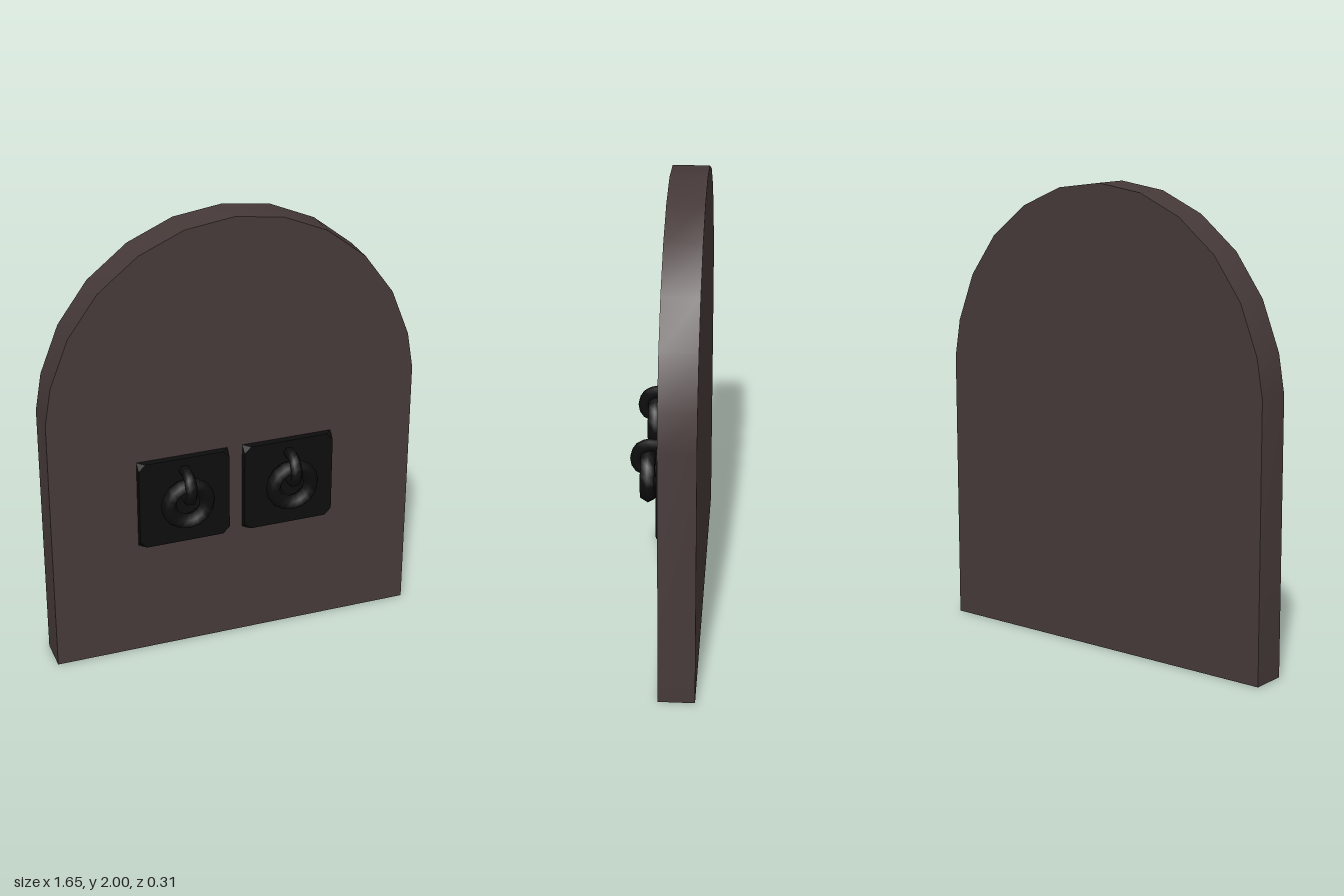
import * as THREE from 'three';
import { toCreasedNormals } from 'three/addons/utils/BufferGeometryUtils.js';
import { ConvexGeometry } from 'three/addons/geometries/ConvexGeometry.js';

const wood = new THREE.MeshStandardMaterial({ name: 'dark wood', color: 0x463a39 });
const iron = new THREE.MeshStandardMaterial({ name: 'black iron', color: 0x0d0d0d });

function part(name, geometry, material, x = 0, y = 0, z = 0) {
  const mesh = new THREE.Mesh(geometry, material);
  mesh.name = name;
  mesh.position.set(x, y, z);
  return mesh;
}

// Arched slab, mirrored from its right half
function doorGeometry() {
  const half = [[0.825, 0], [0.825, 1.19], [0.797, 1.355], [0.715, 1.565],
    [0.585, 1.745], [0.41, 1.885], [0.213, 1.971]];
  const outline = [...half, [0, 2], ...half.map(([x, y]) => [-x, y]).reverse()];
  const shape = new THREE.Shape(outline.map(([x, y]) => new THREE.Vector2(x, y)));
  const geometry = new THREE.ExtrudeGeometry(shape, { depth: 0.155, bevelEnabled: false });
  geometry.translate(0, 0, -0.155);
  return toCreasedNormals(geometry, 0.6);
}

// Square plate whose front corners are cut off
function plateGeometry() {
  const h = 0.204, cut = 0.03, depth = 0.032;
  const points = [];
  for (const sx of [-1, 1]) for (const sy of [-1, 1]) {
    points.push(
      new THREE.Vector3(sx * h, sy * h, 0),
      new THREE.Vector3(sx * (h - cut), sy * h, depth),
      new THREE.Vector3(sx * h, sy * (h - cut), depth));
  }
  return new ConvexGeometry(points);
}

// Staple that loops out of the plate and holds the ring
function stapleGeometry() {
  const path = [[0.02, 0.885], [0.065, 0.893], [0.11, 0.874], [0.129, 0.825],
    [0.11, 0.785], [0.07, 0.77], [0.02, 0.77]];
  const curve = new THREE.CatmullRomCurve3(path.map(([z, y]) => new THREE.Vector3(0, y, z)));
  return new THREE.TubeGeometry(curve, 12, 0.026, 6);
}

export function createModel() {
  const model = new THREE.Group();
  model.name = 'archedDoor';
  model.add(part('doorSlab', doorGeometry(), wood));

  // A ring pull on each side of the middle
  const plate = plateGeometry();
  const staple = stapleGeometry();
  const ring = new THREE.TorusGeometry(0.087, 0.035, 6, 16);
  for (const [name, x] of [['rightHandle', -0.237], ['leftHandle', 0.24]]) {
    const handle = new THREE.Group();
    handle.name = name;
    handle.position.x = x;
    handle.add(
      part('plate', plate, iron, 0, 0.742, 0),
      part('staple', staple, iron),
      part('ring', ring, iron, 0, 0.75, 0.075));
    model.add(handle);
  }
  return model;
}
